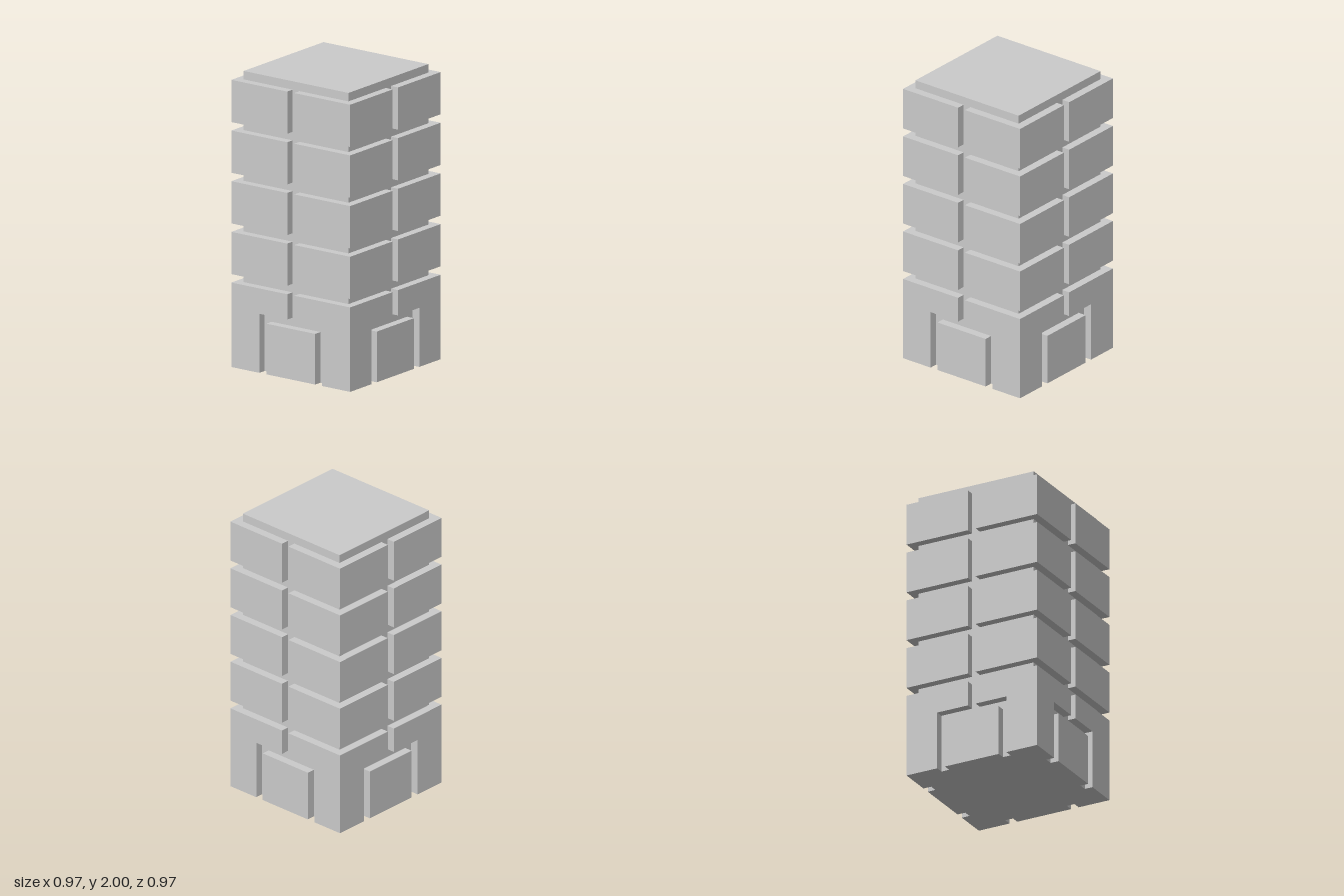
import * as THREE from 'three';

// Everything sits on a module of 1/35 of the height
const U = 2 / 35;
const CORE = 7.5 * U;   // half width of the inner shaft
const OUTER = 8.5 * U;  // half width over the blocks
const GAP = 0.5 * U;    // half width of the vertical joint

const material = new THREE.MeshStandardMaterial({ color: 0xcccccc, flatShading: true });

function box(name, w, h, d, x, y, z) {
  const mesh = new THREE.Mesh(new THREE.BoxGeometry(w, h, d), material);
  mesh.name = name;
  mesh.position.set(x, y + h / 2, z);
  return mesh;
}

// L-shaped corner block wrapping the shaft, starting `inner` from the face centre
function cornerBlock(name, inner, y, h) {
  const shape = new THREE.Shape([
    [inner, CORE], [CORE, CORE], [CORE, inner],
    [OUTER, inner], [OUTER, OUTER], [inner, OUTER],
  ].map(([a, b]) => new THREE.Vector2(a, b)));
  const geometry = new THREE.ExtrudeGeometry(shape, { depth: h, bevelEnabled: false });
  geometry.rotateX(-Math.PI / 2);
  const mesh = new THREE.Mesh(geometry, material);
  mesh.name = name;
  mesh.position.y = y;
  return mesh;
}

export function createModel() {
  const model = new THREE.Group();
  model.name = 'blockTower';

  model.add(box('shaft', 2 * CORE, 2, 2 * CORE, 0, 0, 0));

  // Four identical sides, each with one corner and one doorway
  for (let i = 0; i < 4; i++) {
    const side = new THREE.Group();
    side.name = `side${i + 1}`;
    side.rotation.y = i * Math.PI / 2;

    // Base corner: narrow legs beside the doorway, wide lintel above it
    const base = new THREE.Group();
    base.name = 'baseCorner';
    base.add(cornerBlock('doorJamb', 4.5 * U, 0, 7 * U));
    base.add(cornerBlock('lintel', GAP, 7 * U, 3 * U));
    side.add(base);

    // Four upper courses
    for (let row = 0; row < 4; row++) {
      side.add(cornerBlock(`cornerBlock${row + 1}`, GAP, (11 + 6 * row) * U, 5 * U));
    }

    // Raised door panel
    side.add(box('doorPanel', 7 * U, 6 * U, U, 0, 0, (CORE + OUTER) / 2));
    model.add(side);
  }
  return model;
}
